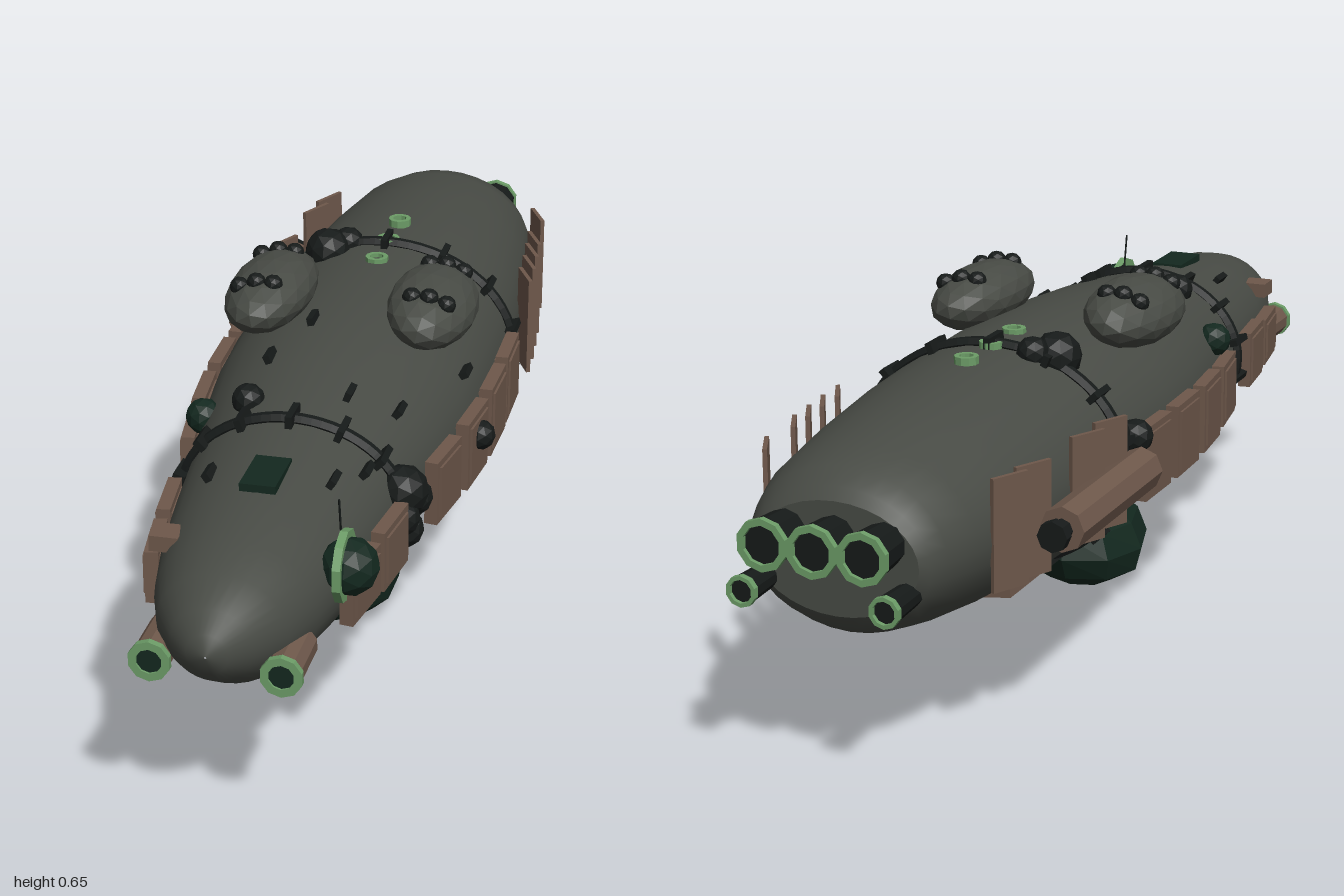
import * as THREE from 'three';

const mat = (color, flatShading = true) => new THREE.MeshStandardMaterial({ color, flatShading });
const HULL = mat(0x484b45, false), POD = mat(0x484b45), BROWN = mat(0x6e584b), GREEN = mat(0x6c9c67),
  DARK = mat(0x13281f), BLACK = mat(0x161a19);
const CX = 0.012; // hull axis

// hull stations: z, top, bottom, half width
const STATIONS = [
  [1.0, 0.392, 0.388, 0.002], [0.99, 0.425, 0.355, 0.035], [0.96, 0.455, 0.325, 0.07], [0.9, 0.485, 0.287, 0.11],
  [0.82, 0.505, 0.262, 0.138], [0.7, 0.52, 0.25, 0.163], [0.55, 0.533, 0.243, 0.183], [0.4, 0.55, 0.228, 0.2],
  [0.25, 0.568, 0.208, 0.225], [0.1, 0.58, 0.195, 0.245], [-0.05, 0.585, 0.188, 0.252], [-0.25, 0.583, 0.185, 0.25],
  [-0.45, 0.575, 0.192, 0.241], [-0.65, 0.56, 0.208, 0.222], [-0.8, 0.543, 0.228, 0.2], [-0.87, 0.525, 0.243, 0.178],
  [-0.9, 0.5, 0.262, 0.162], [-0.915, 0.48, 0.285, 0.148],
];

function section(z) {
  let i = 0;
  while (i < STATIONS.length - 2 && STATIONS[i + 1][0] > z) i++;
  const a = STATIONS[i], b = STATIONS[i + 1], t = (z - a[0]) / (b[0] - a[0]);
  const [top, bot, rx] = [1, 2, 3].map((k) => a[k] + (b[k] - a[k]) * t);
  return { cy: (top + bot) / 2, ry: (top - bot) / 2, rx };
}

// point on the hull; angle runs from +x up over the top
function onHull(z, deg, lift = 0) {
  const s = section(z), a = THREE.MathUtils.degToRad(deg);
  return new THREE.Vector3(CX + (s.rx + lift) * Math.cos(a), s.cy + (s.ry + lift) * Math.sin(a), z);
}

function hullGeometry(n = 32) {
  const pos = [], idx = [];
  STATIONS.forEach(([z], j) => {
    for (let i = 0; i < n; i++) {
      pos.push(...onHull(z, (i * 360) / n).toArray());
      if (j === STATIONS.length - 1) continue;
      const a = j * n + i, b = j * n + ((i + 1) % n);
      idx.push(a, a + n, b, b, a + n, b + n);
    }
  });
  const g = new THREE.BufferGeometry();
  g.setAttribute('position', new THREE.Float32BufferAttribute(pos, 3));
  g.setIndex(idx);
  g.computeVertexNormals();
  return g;
}

export function createModel() {
  const root = new THREE.Group();
  const add = (name, geo, material, x = 0, y = 0, z = 0, rx = 0, ry = 0, rz = 0) => {
    const m = new THREE.Mesh(geo, material);
    m.name = name;
    m.position.set(x, y, z);
    m.rotation.set(rx, ry, rz);
    root.add(m);
    return m;
  };
  const box = (w, h, d) => new THREE.BoxGeometry(w, h, d);
  const ball = (r) => new THREE.IcosahedronGeometry(r, 1);
  const rod = (r, len, n = 12, r2 = r) => new THREE.CylinderGeometry(r, r2, len, n).rotateX(Math.PI / 2);
  // flat-faced ring around z
  const collar = (R, r, depth) => new THREE.LatheGeometry(
    [[r, -1], [R, -1], [R, 1], [r, 1], [r, -1]].map(([x, s]) => new THREE.Vector2(x, s * depth / 2)), 10).rotateX(Math.PI / 2);

  // hull and stern plate
  add('hull', hullGeometry(), HULL);
  const e = section(-0.915);
  add('sternPlate', new THREE.CircleGeometry(1, 32), HULL, CX, e.cy, -0.915, 0, Math.PI).scale.set(e.rx, e.ry, 1);

  // two girdle bands with clamps
  for (const z of [0.445, -0.295]) {
    const s = section(z);
    const path = new THREE.CatmullRomCurve3(Array.from({ length: 32 }, (_, i) => onHull(z, i * 11.25, 0.002)), true);
    add('hullBand', new THREE.TubeGeometry(path, 64, 0.012, 6, true), BLACK);
    for (let i = 0; i < 14; i++) {
      const deg = (i + 0.5) * 360 / 14, p = onHull(z, deg, 0.008), a = THREE.MathUtils.degToRad(deg);
      add('bandClamp', box(0.022, 0.012, 0.062), BLACK, p.x, p.y, p.z, 0, 0, Math.atan2(Math.sin(a) / s.ry, Math.cos(a) / s.rx));
    }
  }

  // upper blister pods with clustered lenses
  for (const s of [-1, 1]) {
    const x = CX + s * 0.153;
    add('blisterPod', new THREE.IcosahedronGeometry(1, 2), POD, x, 0.59, 0, 0, 0, -s * 0.2).scale.set(0.082, 0.06, 0.157);
    for (const z of [-0.08, 0.08]) for (const k of [-1, 0, 1])
      add('podLens', ball(0.018), BLACK, x + k * 0.032 + s * 0.008, 0.637 - Math.abs(k) * 0.006 - s * k * 0.005, z);
  }

  // belly gondola on bent struts
  const g = new THREE.SphereGeometry(1, 9, 6);
  const p = g.attributes.position;
  for (let i = 0; i < p.count; i++) {
    const y = p.getY(i);
    p.setXYZ(i, p.getX(i) * (1 - 0.12 * y) + 0.12 * (1 - Math.abs(y)) * y, y, p.getZ(i) * (1 + 0.1 * y));
  }
  add('bellyGondola', g, DARK, 0.014, 0.095, 0.125, 0, 0, 0.12).scale.set(0.124, 0.092, 0.16);
  for (const s of [-1, 1]) for (const z of [0.09, 0.17]) {
    const c = new THREE.QuadraticBezierCurve3(new THREE.Vector3(CX + s * 0.115, 0.235, z),
      new THREE.Vector3(CX + s * 0.1, 0.17, z), new THREE.Vector3(CX + s * 0.045, 0.155, z));
    add('gondolaStrut', new THREE.TubeGeometry(c, 8, 0.012, 8), BROWN);
  }

  // bow tubes
  for (const s of [-1, 1]) {
    const x = CX + s * 0.109;
    add('bowTube', rod(0.032, 0.11, 10), BROWN, x, 0.34, 0.89);
    add('bowTubeRim', collar(0.036, 0.022, 0.012), GREEN, x, 0.34, 0.945);
    add('bowTubeBore', rod(0.023, 0.006, 10), DARK, x, 0.34, 0.944);
  }

  // stern nozzles: x, y, radius
  for (const [dx, y, r] of [[-0.088, 0.42, 0.045], [0, 0.42, 0.045], [0.088, 0.42, 0.045], [-0.125, 0.337, 0.027], [0.128, 0.337, 0.027]]) {
    add('sternNozzle', rod(r * 0.8, 0.09, 10, r * 0.93), BLACK, CX + dx, y, -0.945);
    add('nozzleRim', collar(r, r * 0.74, 0.012), GREEN, CX + dx, y, -0.992);
  }

  // hull side armour: z, height, shared by both flanks
  for (const s of [-1, 1]) {
    for (const [z, h] of [[0.683, 0.095], [0.543, 0.11], [0.275, 0.12], [0.12, 0.13], [-0.033, 0.135], [-0.183, 0.135]]) {
      const slope = Math.atan((section(z - 0.06).rx - section(z + 0.06).rx) / 0.12);
      const y = 0.375, x = CX + s * (section(z).rx + 0.01);
      add('sidePanel', box(0.024, h, 0.122), BROWN, x, y, z, 0, -s * slope);
      add('panelFace', box(0.032, h - 0.024, 0.1), BROWN, x, y, z, 0, -s * slope);
    }
    // angled cooling louvres
    for (const z of s > 0 ? [-0.405, -0.47, -0.535, -0.6, -0.73] : [-0.38, -0.47, -0.66, -0.73])
      add('louvre', box(0.008, 0.195, 0.075), BROWN, CX + s * (section(z).rx + 0.012), 0.4, z, 0, s * 0.45);
    // keel plates
    for (const [z, y] of [[-0.155, 0.207], [-0.49, 0.216]]) {
      add('keelPlate', box(0.11, 0.018, 0.13), BROWN, CX + s * 0.09, y, z, 0, 0, s * 0.14);
      add('keelPlateFace', box(0.085, 0.026, 0.105), BROWN, CX + s * 0.09, y, z, 0, 0, s * 0.14);
    }
  }

  // flank canister
  add('canister', rod(0.04, 0.36, 8), BROWN, -0.268, 0.385, -0.47);
  add('canisterNeck', rod(0.02, 0.04, 8), BLACK, -0.268, 0.385, -0.66);
  add('canisterCap', rod(0.027, 0.02, 8), BLACK, -0.268, 0.385, -0.682);

  // side lamp with rim and whisker
  add('sideLamp', ball(0.05), DARK, 0.182, 0.435, 0.735);
  add('sideLampRim', collar(0.062, 0.046, 0.014), GREEN, 0.172, 0.435, 0.735, 0, Math.PI / 2);
  add('whisker', new THREE.CylinderGeometry(0.002, 0.002, 0.07, 5), BLACK, 0.162, 0.515, 0.72, 0.2);

  // domes on the hull: z, angle, radius
  for (const [z, deg, r] of [[0.44, 15, 0.046], [0.47, 2, 0.034], [0.4, 4, 0.034], [0.435, -12, 0.034], [0.37, 118, 0.03],
    [0.3, 155, 0.033], [-0.27, 116, 0.045], [-0.3, 108, 0.03], [-0.24, 168, 0.032], [-0.135, 195, 0.026]]) {
    const q = onHull(z, deg, 0.005);
    add('hullDome', ball(r), z > 0.25 && z < 0.35 ? DARK : BLACK, q.x, q.y, q.z);
  }
  add('panelDome', ball(0.028), BLACK, 0.28, 0.395, 0.12);

  // dorsal hatch and vent rings
  add('dorsalHatch', box(0.062, 0.014, 0.11), DARK, CX, 0.528, 0.625);
  add('hatchBase', box(0.03, 0.03, 0.05), BLACK, CX, 0.518, 0.635);
  for (const z of [-0.41, -0.305, -0.205])
    add('ventRing', collar(0.022, 0.013, 0.014), GREEN, CX, 0.584, z, Math.PI / 2);

  // small cleats and fittings: z, angle
  for (const [z, deg] of [[0.6, 125], [0.58, 55], [0.09, 102], [0.04, 28], [0.5, 42], [-0.64, -12], [0.22, 115], [0.33, 70], [0.3, 45]]) {
    const q = onHull(z, deg, 0.003);
    add('cleat', box(0.012, 0.02, 0.045), BLACK, q.x, q.y, q.z, 0, 0, THREE.MathUtils.degToRad(deg - 90));
  }
  add('bowBox', box(0.05, 0.028, 0.05), BROWN, -0.122, 0.457, 0.75);
  return root;
}
